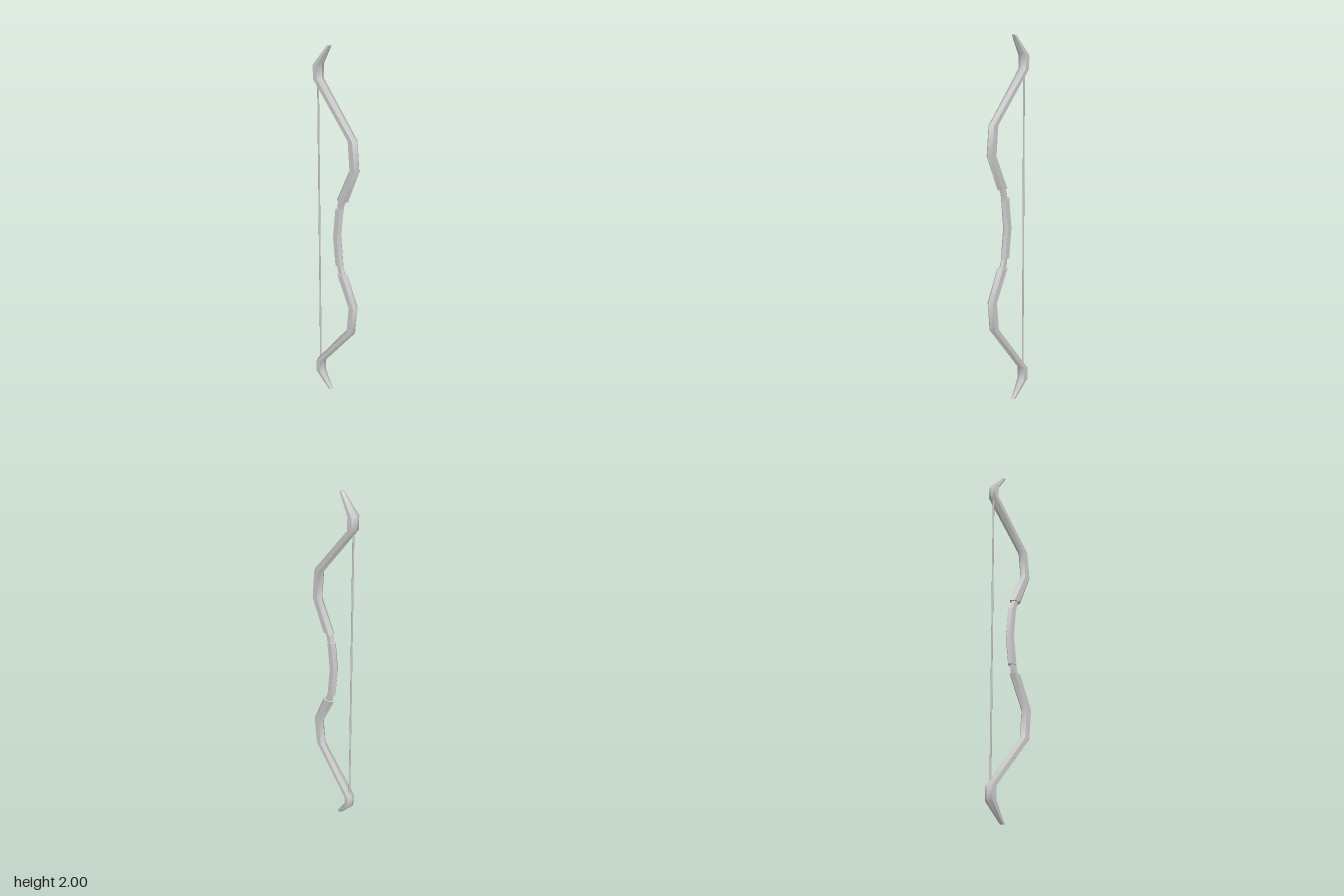
import * as THREE from 'three';
import { toCreasedNormals } from 'three/addons/utils/BufferGeometryUtils.js';

const material = new THREE.MeshStandardMaterial({ color: 0xcccccc });

// Loft of hexagonal sections with pointed belly and back.
// Each station, from bottom to top: [y, left x, right x, half depth]
function loft(name, stations) {
  const positions = [];
  const index = [];
  for (const [y, l, r, d] of stations) {
    const b = (r - l) * 0.25;
    positions.push(r, y, 0, r - b, y, -d, l + b, y, -d, l, y, 0, l + b, y, d, r - b, y, d);
  }
  const last = (stations.length - 1) * 6;
  for (let s = 0; s < last; s += 6) {
    for (let i = 0; i < 6; i++) {
      const a = s + i, b = s + (i + 1) % 6;
      index.push(a, b, b + 6, a, b + 6, a + 6);
    }
  }
  for (let i = 1; i < 5; i++) {
    index.push(0, i + 1, i, last, last + i, last + i + 1);
  }
  const geometry = new THREE.BufferGeometry();
  geometry.setAttribute('position', new THREE.Float32BufferAttribute(positions, 3));
  geometry.setIndex(index);
  const mesh = new THREE.Mesh(toCreasedNormals(geometry, 0.8), material);
  mesh.name = name;
  return mesh;
}

const mirror = (stations) => stations.map(([y, ...rest]) => [2 - y, ...rest]).reverse();

export function createModel() {
  const bow = new THREE.Group();
  bow.name = 'bow';

  // Recurved limbs
  const limb = [
    [1.215, 0.0, 0.074, 0.02],
    [1.393, 0.084, 0.146, 0.02],
    [1.55, 0.072, 0.13, 0.021],
    [1.83, -0.148, -0.097, 0.027],
    [1.9, -0.148, -0.097, 0.027],
    [2.0, -0.064, -0.036, 0.01],
  ];
  bow.add(loft('upperLimb', limb), loft('lowerLimb', mirror(limb)));

  // Slim necks joining grip and limbs
  const neck = [
    [1.14, 0.0, 0.04, 0.013],
    [1.19, 0.005, 0.05, 0.013],
    [1.235, 0.022, 0.068, 0.013],
  ];
  bow.add(loft('upperNeck', neck), loft('lowerNeck', mirror(neck)));

  // Grip
  const gripTop = [[1.0, -0.027, 0.027, 0.018], [1.165, -0.011, 0.045, 0.017]];
  bow.add(loft('grip', [mirror(gripTop)[0], ...gripTop]));

  // String
  const string = new THREE.Mesh(new THREE.CylinderGeometry(0.005, 0.005, 1.62, 6), material);
  string.name = 'string';
  string.position.set(-0.125, 1, 0);
  bow.add(string);

  return bow;
}
